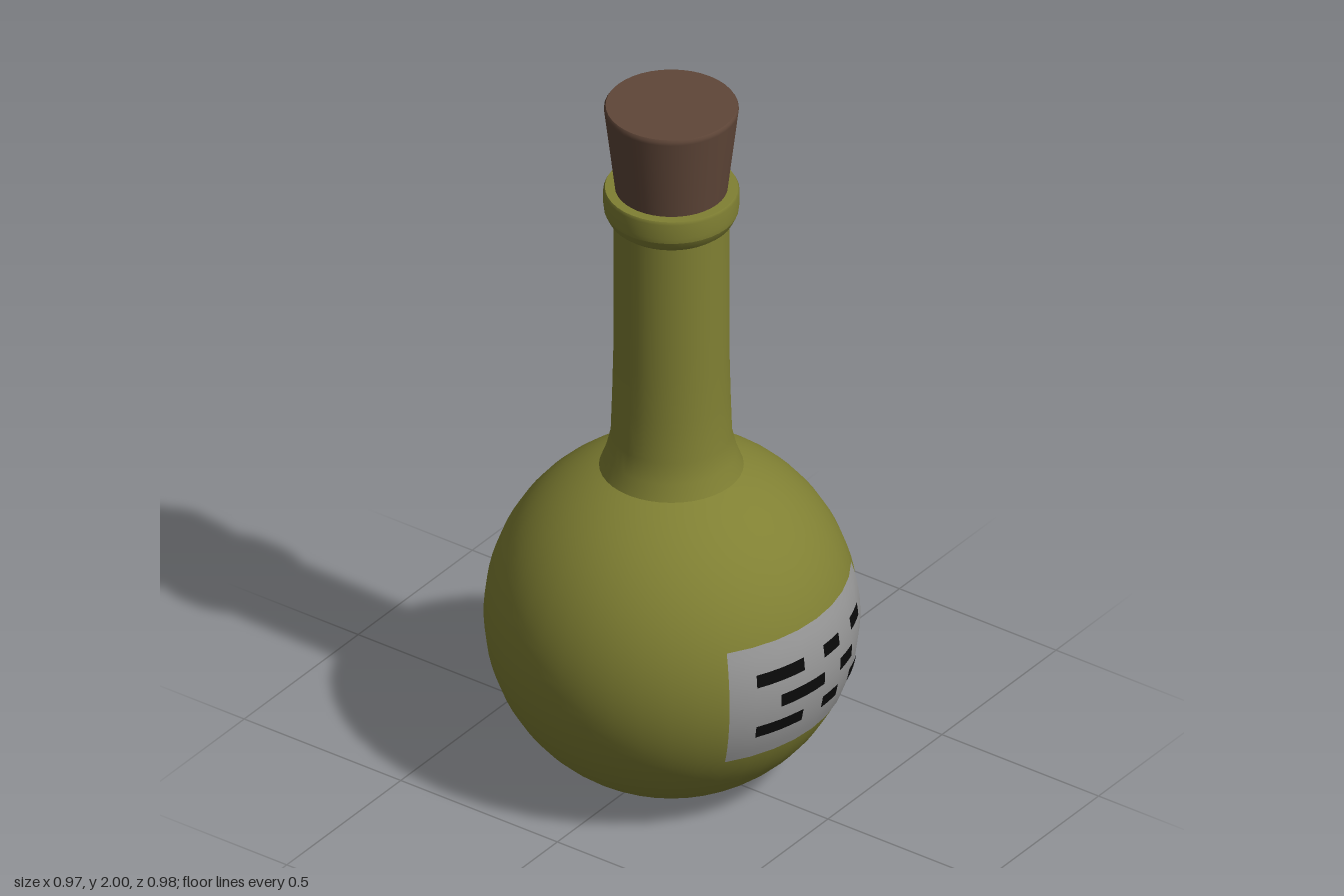
import * as THREE from 'three';

const SEGMENTS = 40;
const STEP = (Math.PI * 2) / SEGMENTS;
const CENTRE_Y = 0.45;
const RADIUS = 0.485;

const material = (color, side = THREE.FrontSide) => new THREE.MeshStandardMaterial({ color, side });

// Turned surface from [radius, height] pairs, bottom to top
function turned(name, profile, mat, segments = SEGMENTS, start = 0, sweep = Math.PI * 2) {
  const points = profile.map(([r, y]) => new THREE.Vector2(r, y));
  const mesh = new THREE.Mesh(new THREE.LatheGeometry(points, segments, start, sweep), mat);
  mesh.name = name;
  return mesh;
}

// Profile of the round body between two heights, lifted outward by an offset
function bulb(y0, y1, steps, lift = 0) {
  const a0 = Math.asin((y0 - CENTRE_Y) / RADIUS);
  const a1 = Math.asin((y1 - CENTRE_Y) / RADIUS);
  return Array.from({ length: steps + 1 }, (_, i) => {
    const a = a0 + ((a1 - a0) * i) / steps;
    return [(RADIUS + lift) * Math.cos(a), CENTRE_Y + (RADIUS + lift) * Math.sin(a)];
  });
}

export function createModel() {
  const model = new THREE.Group();
  model.name = 'corkedFlask';
  const glass = material(0x808033);
  const cork = material(0x5f4638);
  const paper = material(0x999999, THREE.DoubleSide);
  const ink = material(0x0a0a0a, THREE.DoubleSide);

  // Bottle: separate sections keep the joints crisp
  const bottle = new THREE.Group();
  bottle.name = 'bottle';
  bottle.add(
    turned('base', [[0, 0], [0.19, 0]], glass),
    turned('baseRim', [[0.19, 0], [0.204, 0.01]], glass),
    turned('body', bulb(0.01, 0.905, 32), glass),
    turned('neck', [[0.187, 0.9], [0.17, 0.945], [0.157, 1.0], [0.153, 1.12], [0.15, 1.25], [0.15, 1.66]], glass),
    turned('lipUnderside', [[0.15, 1.65], [0.162, 1.66], [0.174, 1.685]], glass),
    turned('lipBand', [[0.174, 1.685], [0.176, 1.7], [0.176, 1.742], [0.172, 1.75]], glass),
    turned('lipTop', [[0.172, 1.75], [0.135, 1.75]], glass),
  );
  model.add(bottle);

  // Tapered cork with a slightly eased top edge
  const stopper = new THREE.Group();
  stopper.name = 'cork';
  stopper.add(
    turned('corkSide', [[0.135, 1.66], [0.146, 1.75], [0.174, 1.985], [0.174, 1.994], [0.17, 2]], cork),
    turned('corkTop', [[0.17, 2], [0, 2]], cork),
  );
  model.add(stopper);

  // Curved label following the body
  const label = new THREE.Group();
  label.name = 'label';
  label.add(turned('labelPaper', bulb(0.26, 0.6, 12, 0.003), paper, 8, -4 * STEP, 8 * STEP));

  // Abstract dark bars: [bottom, top, [x start, x end]...]
  const rows = [
    [0.49, 0.526, [-0.22, -0.077], [0, 0.073], [0.146, 0.217]],
    [0.411, 0.448, [-0.154, 0], [0.075, 0.148]],
    [0.334, 0.37, [-0.22, -0.077], [0, 0.073], [0.146, 0.217]],
  ];
  for (const [y0, y1, ...bars] of rows) {
    for (const [x0, x1] of bars) {
      const a0 = Math.asin(x0 / RADIUS);
      const a1 = Math.asin(x1 / RADIUS);
      label.add(turned('labelBar', bulb(y0, y1, 3, 0.006), ink, 4, a0, a1 - a0));
    }
  }
  model.add(label);
  return model;
}
